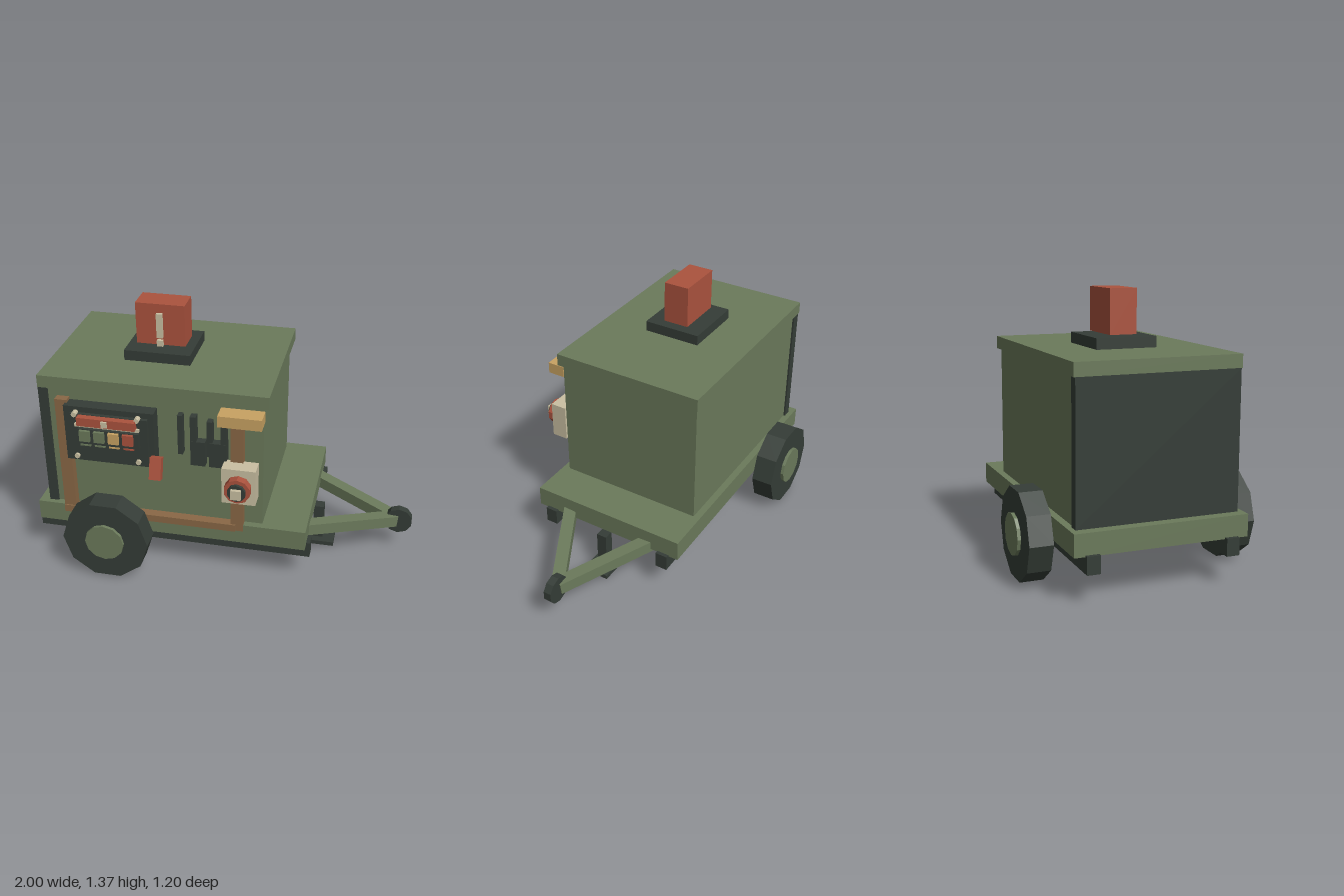
import * as THREE from 'three';

const mat = (name, color) => {
  const m = new THREE.MeshStandardMaterial({ color });
  m.name = name;
  return m;
};

export function createModel() {
  const root = new THREE.Group();
  root.name = 'generatorTrailer';
  const green = mat('olive green', 0x6b7a5b);
  const dark = mat('dark grey', 0x353d37);
  const red = mat('brick red', 0xab533e);
  const beige = mat('beige', 0xcac0a2);
  const tan = mat('tan', 0xc8a262);
  const brown = mat('brown', 0x8a6846);

  const add = (name, geo, material, parent = root) => {
    const mesh = new THREE.Mesh(geo, material);
    mesh.name = name;
    parent.add(mesh);
    return mesh;
  };
  // Box given by its lower and upper limits on each axis
  const box = (name, m, x0, x1, y0, y1, z0, z1, parent) => {
    const mesh = add(name, new THREE.BoxGeometry(x1 - x0, y1 - y0, z1 - z0), m, parent);
    mesh.position.set((x0 + x1) / 2, (y0 + y1) / 2, (z0 + z1) / 2);
    return mesh;
  };
  // Faceted disc with its axis along z
  const disc = (name, m, r, sides, x, y, z0, z1, start = 0, parent) => {
    const geo = new THREE.CylinderGeometry(r, r, z1 - z0, sides, 1, false, start)
      .rotateX(Math.PI / 2).toNonIndexed();
    geo.computeVertexNormals();
    const mesh = add(name, geo, m, parent);
    mesh.position.set(x, y, (z0 + z1) / 2);
    return mesh;
  };

  // Chassis, housing and roof
  box('deck', green, -0.98, 0.465, 0.225, 0.335, -0.437, 0.437);
  box('housing', green, -0.9, 0.235, 0.335, 1.025, -0.4, 0.4);
  box('rearPanel', dark, -0.927, -0.877, 0.335, 1.02, -0.41, 0.41);
  box('roof', green, -0.925, 0.262, 1.02, 1.086, -0.417, 0.417);

  // Skids, wheels and drawbar arms on both sides
  for (const s of [1, -1]) {
    box('skidRail', dark, -1, 0.485, 0.145, 0.232, s * 0.35 - 0.033, s * 0.35 + 0.033);

    const wheel = new THREE.Group();
    wheel.name = 'wheel';
    wheel.position.set(-0.567, 0.233, s * 0.524);
    root.add(wheel);
    disc('tyre', dark, 0.23, 10, 0, 0, -0.059, 0.059, Math.PI / 10, wheel);
    disc('hub', green, 0.104, 12, 0, 0, s > 0 ? 0 : -0.076, s > 0 ? 0.076 : 0, 0, wheel);

    const a = new THREE.Vector3(0.4, 0.243, s * 0.273);
    const b = new THREE.Vector3(0.905, 0.187, 0);
    const arm = add('drawbarArm', new THREE.BoxGeometry(0.066, 0.064, a.distanceTo(b)), green);
    arm.position.copy(a).lerp(b, 0.5);
    arm.lookAt(b);
  }

  // Coupler and jack stand
  disc('coupler', dark, 0.075, 10, 0.925, 0.187, -0.021, 0.021);
  box('jackPost', dark, 0.46, 0.515, 0.02, 0.225, -0.028, 0.028);
  box('jackFoot', dark, 0.395, 0.58, 0, 0.023, -0.07, 0.07);

  // Roof beacon with warning mark
  box('beaconBase', dark, -0.545, -0.195, 1.086, 1.141, -0.157, 0.157);
  box('beacon', red, -0.5, -0.24, 1.149, 1.373, -0.07, 0.07);
  box('markBar', beige, -0.386, -0.354, 1.195, 1.328, 0.076, 0.094);
  box('markDot', beige, -0.386, -0.354, 1.149, 1.182, 0.076, 0.095);

  // Conduits on the front face
  box('leftConduit', brown, -0.83, -0.765, 0.335, 0.975, 0.39, 0.443);
  box('lowerConduit', brown, -0.83, 0.1, 0.298, 0.338, 0.39, 0.45);
  box('rightConduit', brown, 0.075, 0.14, 0.3, 0.98, 0.39, 0.442);

  // Control panel
  const panel = new THREE.Group();
  panel.name = 'controlPanel';
  root.add(panel);
  box('panelCase', dark, -0.775, -0.307, 0.65, 0.96, 0.4, 0.47, panel);
  box('panelFace', dark, -0.735, -0.335, 0.685, 0.93, 0.47, 0.49, panel);
  box('displayTrim', beige, -0.71, -0.375, 0.865, 0.882, 0.488, 0.503, panel);
  box('displayBar', red, -0.69, -0.39, 0.882, 0.928, 0.488, 0.525, panel);
  box('displayMarker', beige, -0.56, -0.53, 0.89, 0.922, 0.52, 0.535, panel);
  box('buttonStrip', dark, -0.69, -0.375, 0.775, 0.86, 0.488, 0.514, panel);
  [green, green, tan, red].forEach((m, i) => {
    const x = -0.653 + i * 0.075;
    box('button', m, x - 0.027, x + 0.027, 0.797, 0.856, 0.51, 0.53, panel);
    box('buttonLabel', m, x - 0.027, x + 0.027, 0.766, 0.774, 0.485, 0.517, panel);
  });
  for (const x of [-0.71, -0.386])
    for (const y of [0.93, 0.69]) disc('bolt', beige, 0.014, 8, x, y, 0.465, 0.503, 0, panel);

  // Tilted release lever
  const lever = box('lever', red, -0.312, -0.252, 0.64, 0.755, 0.523, 0.563);
  lever.rotation.x = -0.28;

  // Hanging tools
  const tools = [
    [-0.195, -0.17, 0.73, 0.95], [-0.13, -0.1, 0.81, 0.95], [-0.13, -0.055, 0.675, 0.812],
    [-0.046, -0.018, 0.73, 0.93], [0.025, 0.055, 0.81, 0.935], [-0.035, 0.055, 0.675, 0.812],
  ];
  tools.forEach(([x0, x1, y0, y1], i) => box('tool', dark, x0, x1, y0, y1, 0.39, 0.44 + (i % 3) * 0.002));

  // Lamp hood and power socket
  box('lampHood', tan, 0.02, 0.24, 0.94, 1, 0.4, 0.493);
  box('socketBox', beige, 0.043, 0.216, 0.518, 0.718, 0.424, 0.512);
  disc('socketRing', red, 0.068, 10, 0.13, 0.618, 0.512, 0.555);
  disc('socketCore', dark, 0.047, 10, 0.13, 0.618, 0.555, 0.571);
  box('socketPlug', beige, 0.104, 0.156, 0.592, 0.644, 0.571, 0.589);

  return root;
}
